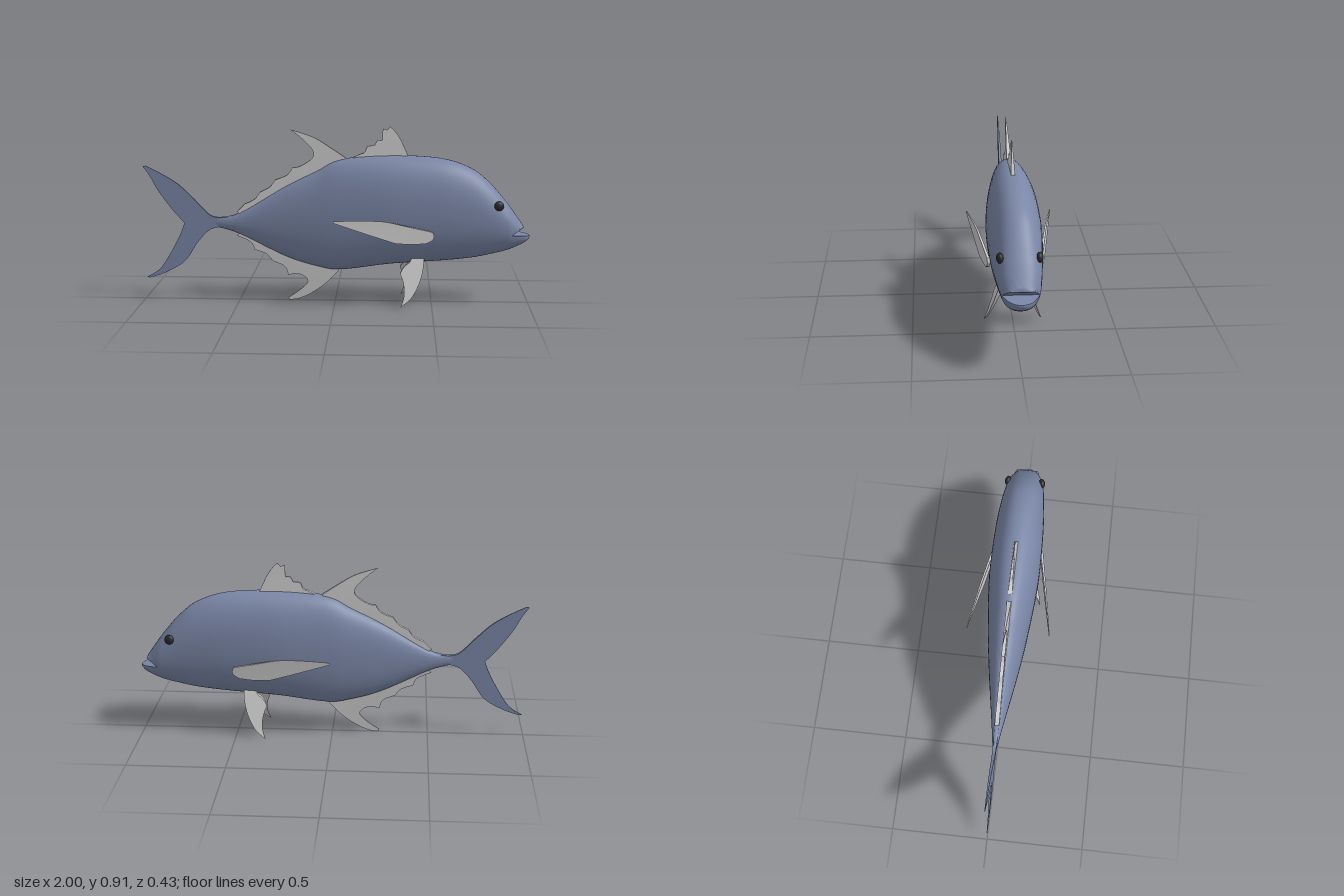
import * as THREE from 'three';
import { mergeGeometries, toCreasedNormals } from 'three/addons/utils/BufferGeometryUtils.js';

const skin = new THREE.MeshStandardMaterial({ color: 0x7a86a6 });
const grey = new THREE.MeshStandardMaterial({ color: 0xcccccc });
const dark = new THREE.MeshStandardMaterial({ color: 0x2a2a2c });

// Body stations: x, top y, bottom y, half width
const stations = [
  [-0.62, 0.44, 0.39, 0.010], [-0.5, 0.465, 0.355, 0.028], [-0.26, 0.605, 0.24, 0.068],
  [-0.1, 0.685, 0.19, 0.092], [0.03, 0.748, 0.172, 0.108], [0.28, 0.77, 0.205, 0.13],
  [0.54, 0.757, 0.225, 0.128], [0.7, 0.705, 0.242, 0.117], [0.8, 0.625, 0.262, 0.107],
  [0.87, 0.545, 0.28, 0.097], [0.905, 0.5, 0.292, 0.088], [0.965, 0.415, 0.32, 0.058],
  [0.99, 0.38, 0.338, 0.034], [1.0, 0.363, 0.35, 0.012],
];
const LAST = stations.length - 1;
const [topLine, bottomLine, widthLine] = [1, 2, 3].map(
  k => new THREE.SplineCurve(stations.map(s => new THREE.Vector2(s[0], s[k]))));

// Skin lofted between two stations; clampY trims the section to a jaw
function loft(from, to, clampY = y => y) {
  const steps = (to - from) * 5, N = 56, pos = [], idx = [];
  for (let i = 0; i <= steps; i++) {
    const t = (from + (to - from) * i / steps) / LAST;
    const top = topLine.getPoint(t), bot = bottomLine.getPoint(t).y, w = widthLine.getPoint(t).y;
    const mid = (top.y + bot) / 2, h = (top.y - bot) / 2;
    for (let j = 0; j < N; j++) {
      const a = j / N * Math.PI * 2, c = Math.cos(a), s = Math.sin(a);
      const y = mid + h * Math.sign(c) * Math.abs(c) ** 0.92;
      pos.push(top.x, clampY(y, top.x), w * Math.sign(s) * Math.abs(s) ** 0.88);
    }
  }
  for (let i = 0; i < steps; i++) for (let j = 0; j < N; j++) {
    const a = i * N + j, b = i * N + (j + 1) % N;
    idx.push(a, b, a + N, b, b + N, a + N);
  }
  const end = steps * N;
  for (let j = 1; j < N - 1; j++) {
    if (from === 0) idx.push(0, j + 1, j);
    if (to > 10) idx.push(end, end + j, end + j + 1);
  }
  const g = new THREE.BufferGeometry();
  g.setAttribute('position', new THREE.Float32BufferAttribute(pos, 3));
  g.setIndex(idx);
  return g;
}

// Thin fin: outline made of smooth edges, with thickness and z given by rules in x and y
function fin(name, material, start, edges, thickness, offset = () => 0) {
  const shape = new THREE.Shape();
  shape.moveTo(...start);
  for (const e of edges) {
    if (e.length === 1) shape.lineTo(...e[0]);
    else shape.splineThru(e.map(p => new THREE.Vector2(...p)));
  }
  const g = new THREE.ExtrudeGeometry(shape, { depth: 1, bevelEnabled: false, curveSegments: 10 });
  const p = g.attributes.position;
  for (let i = 0; i < p.count; i++) {
    const x = p.getX(i), y = p.getY(i);
    p.setZ(i, (p.getZ(i) - 0.5) * thickness(x, y) + offset(x, y));
  }
  const mesh = new THREE.Mesh(toCreasedNormals(g, 0.6), material);
  mesh.name = name;
  return mesh;
}
const taper = (d, reach, base) => 0.003 + base * Math.min(1, Math.max(0, 1 - d / reach));

export function createModel() {
  const fish = new THREE.Group();
  fish.name = 'fish';

  // Body with upper and lower jaws around the open mouth
  const upper = (y, x) => Math.max(y, 0.372 + 0.64 * (x - 0.905));
  const lower = (y, x) => Math.min(y, 0.372 - 0.1 * (x - 0.905));
  const body = new THREE.Mesh(toCreasedNormals(
    mergeGeometries([loft(0, 10), loft(10, 11, upper), loft(10, LAST, lower)]), 0.8), skin);
  body.name = 'body';
  fish.add(body);

  // Forked tail
  fish.add(fin('tailFin', skin, [-0.56, 0.443], [
    [[-0.61, 0.44], [-0.66, 0.458], [-0.74, 0.54], [-0.82, 0.615], [-0.91, 0.67], [-0.985, 0.708]],
    [[-1, 0.705]],
    [[-0.965, 0.655], [-0.92, 0.575], [-0.85, 0.48], [-0.787, 0.41]],
    [[-0.81, 0.35], [-0.86, 0.255], [-0.92, 0.165], [-0.99, 0.118]],
    [[-0.975, 0.115]],
    [[-0.89, 0.145], [-0.79, 0.205], [-0.72, 0.305], [-0.66, 0.37], [-0.6, 0.39], [-0.56, 0.383]],
  ], x => taper(-0.56 - x, 0.44, 0.018)));

  // Spiny front dorsal fin
  fish.add(fin('frontDorsalFin', grey, [0.09, 0.74], [
    [[0.09, 0.758]], [[0.125, 0.775], [0.15, 0.785], [0.165, 0.815], [0.2, 0.82]],
    [[0.218, 0.847], [0.24, 0.845]], [[0.243, 0.907]], [[0.265, 0.9]], [[0.28, 0.917]],
    [[0.3, 0.9], [0.335, 0.85], [0.375, 0.765]], [[0.37, 0.74]],
  ], (x, y) => taper(y - 0.75, 0.16, 0.02)));

  // Long rear dorsal fin
  fish.add(fin('rearDorsalFin', grey, [0.05, 0.74], [
    [[0.052, 0.757]],
    [[-0.02, 0.805], [-0.1, 0.855], [-0.17, 0.882], [-0.232, 0.9]],
    [[-0.18, 0.86], [-0.12, 0.8], [-0.118, 0.755], [-0.18, 0.712], [-0.22, 0.705]],
    [[-0.25, 0.665], [-0.31, 0.64]], [[-0.34, 0.602], [-0.39, 0.575]],
    [[-0.42, 0.537], [-0.47, 0.513]], [[-0.51, 0.472]], [[-0.48, 0.45]],
    [[-0.25, 0.58]], [[-0.1, 0.66]],
  ], (x, y) => taper(y - 0.73 - 0.48 * x, 0.28, 0.02)));

  // Anal fin
  fish.add(fin('analFin', grey, [0.02, 0.2], [
    [[-0.1, 0.22]], [[-0.25, 0.27]], [[-0.48, 0.38]], [[-0.51, 0.345]],
    [[-0.44, 0.312], [-0.42, 0.272]], [[-0.36, 0.25], [-0.325, 0.212]],
    [[-0.265, 0.185], [-0.245, 0.137]],
    [[-0.205, 0.147], [-0.16, 0.132], [-0.145, 0.1], [-0.19, 0.055], [-0.245, 0.018]],
    [[-0.243, 0.004]],
    [[-0.19, 0.012], [-0.12, 0.045], [-0.045, 0.1], [0.02, 0.168]],
  ], (x, y) => taper(0.17 - 0.35 * x - y, 0.25, 0.02)));

  for (const s of [1, -1]) {
    const side = s > 0 ? 'right' : 'left'; // head points to +x, so +z is its right flank

    // Pectoral fin, swept back and away from the flank
    fish.add(fin(side + 'PectoralFin', grey, [0, 0.462], [
      [[0.12, 0.462], [0.25, 0.455], [0.36, 0.43], [0.5, 0.395]],
      [[0.508, 0.375], [0.5, 0.355], [0.47, 0.338]],
      [[0.39, 0.335], [0.31, 0.342]], [[0.2, 0.38]], [[0, 0.452]],
    ], x => taper(0.45 - x, 0.5, 0.01), x => s * (0.215 - 0.175 * x)));

    // Pelvic fin, splayed outwards below the belly
    fish.add(fin(side + 'PelvicFin', grey, [0.46, 0.25], [
      [[0.455, 0.19], [0.435, 0.12], [0.395, 0.05], [0.342, 0.006]],
      [[0.358, 0.06], [0.355, 0.12], [0.337, 0.17]],
      [[0.355, 0.2], [0.385, 0.225]], [[0.4, 0.25]],
    ], (x, y) => taper(0.23 - y, 0.23, 0.02), (x, y) => s * (0.145 - 0.37 * y)));

    // Eye
    const eye = new THREE.Mesh(new THREE.SphereGeometry(0.025, 24, 16), dark);
    eye.name = side + 'Eye';
    eye.scale.z = 0.65;
    eye.rotation.y = s * 0.2;
    eye.position.set(0.835, 0.525, s * 0.091);
    fish.add(eye);
  }
  return fish;
}
